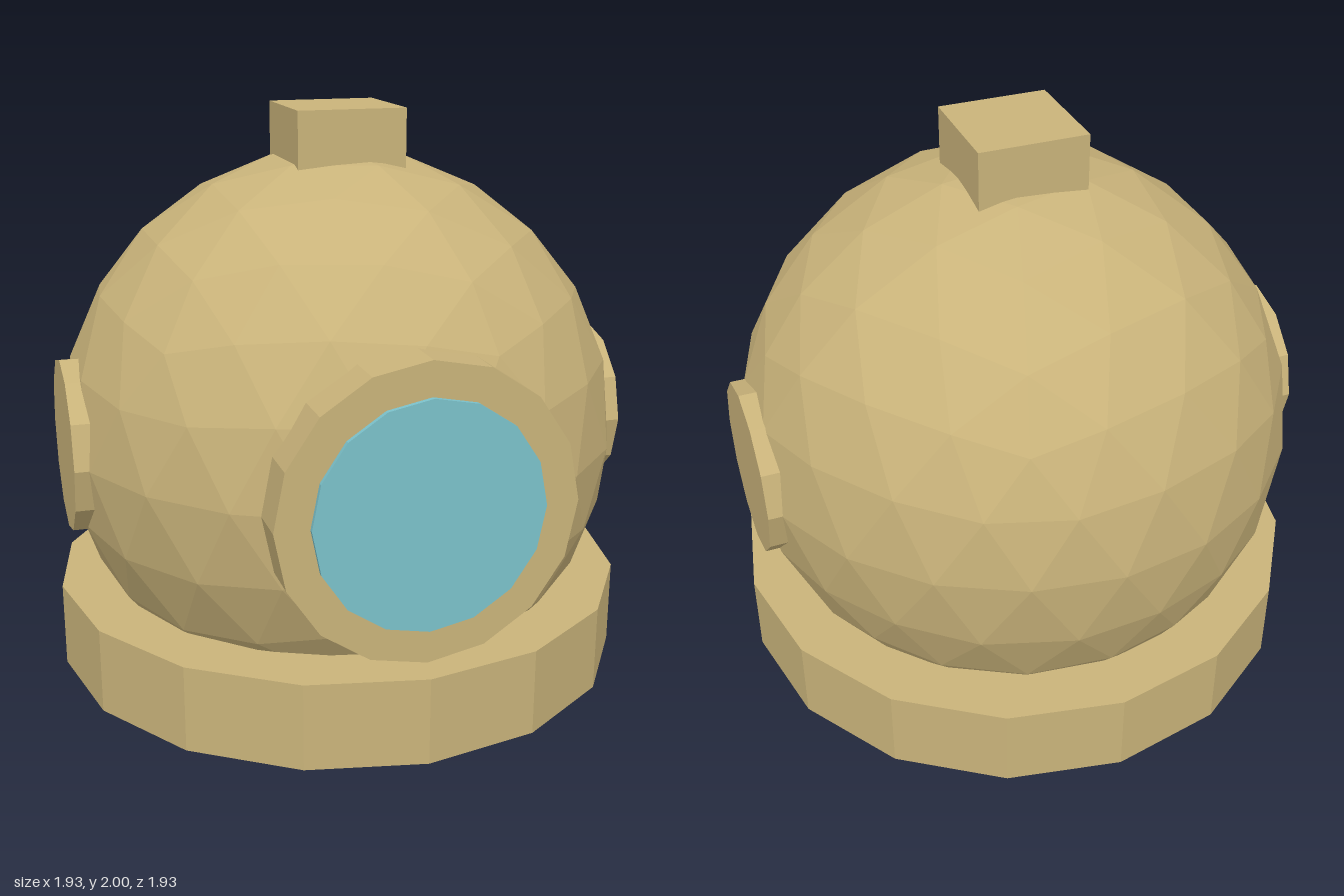
import * as THREE from 'three';

const brass = new THREE.MeshStandardMaterial({ color: 0xc9b37a, flatShading: true });
brass.name = 'brass';
const glass = new THREE.MeshStandardMaterial({ color: 0x7bc1ca, flatShading: true });
glass.name = 'glass';

const CENTER_Y = 0.93;

export function createModel() {
  const model = new THREE.Group();
  model.name = 'divingHelmet';

  const add = (name, geometry, material, x, y, z) => {
    const mesh = new THREE.Mesh(geometry, material);
    mesh.name = name;
    mesh.position.set(x, y, z);
    model.add(mesh);
    return mesh;
  };
  const disc = (radius, depth, sides) => new THREE.CylinderGeometry(radius, radius, depth, sides);

  // Faceted dome, turned so that a corner of the icosahedron is at the top
  const dome = new THREE.IcosahedronGeometry(0.928, 3);
  dome.rotateZ(-Math.atan((Math.sqrt(5) - 1) / 2));
  add('dome', dome, brass, 0, CENTER_Y, 0);

  // Wide solid collar, with the dome showing through below
  add('collar', disc(0.963, 0.281, 16), brass, 0, 0.289, 0);

  // Front porthole: rim and a thin pane standing just proud of it
  add('portholeRim', disc(0.462, 0.28, 16).rotateX(Math.PI / 2), brass, 0, CENTER_Y, 0.79);
  add('portholeGlass', disc(0.355, 0.018, 16).rotateX(Math.PI / 2), glass, 0, CENTER_Y, 0.936);

  // Side caps
  for (const side of [-1, 1]) {
    const cap = disc(0.285, 0.2, 12).rotateX(Math.PI / 2).rotateY(side * Math.PI / 2);
    add(side > 0 ? 'leftCap' : 'rightCap', cap, brass, side * 0.829, CENTER_Y + 0.002, 0);
  }

  // Square fitting on top
  add('topFitting', new THREE.BoxGeometry(0.356, 0.25, 0.356), brass, 0, 1.875, 0);

  return model;
}
